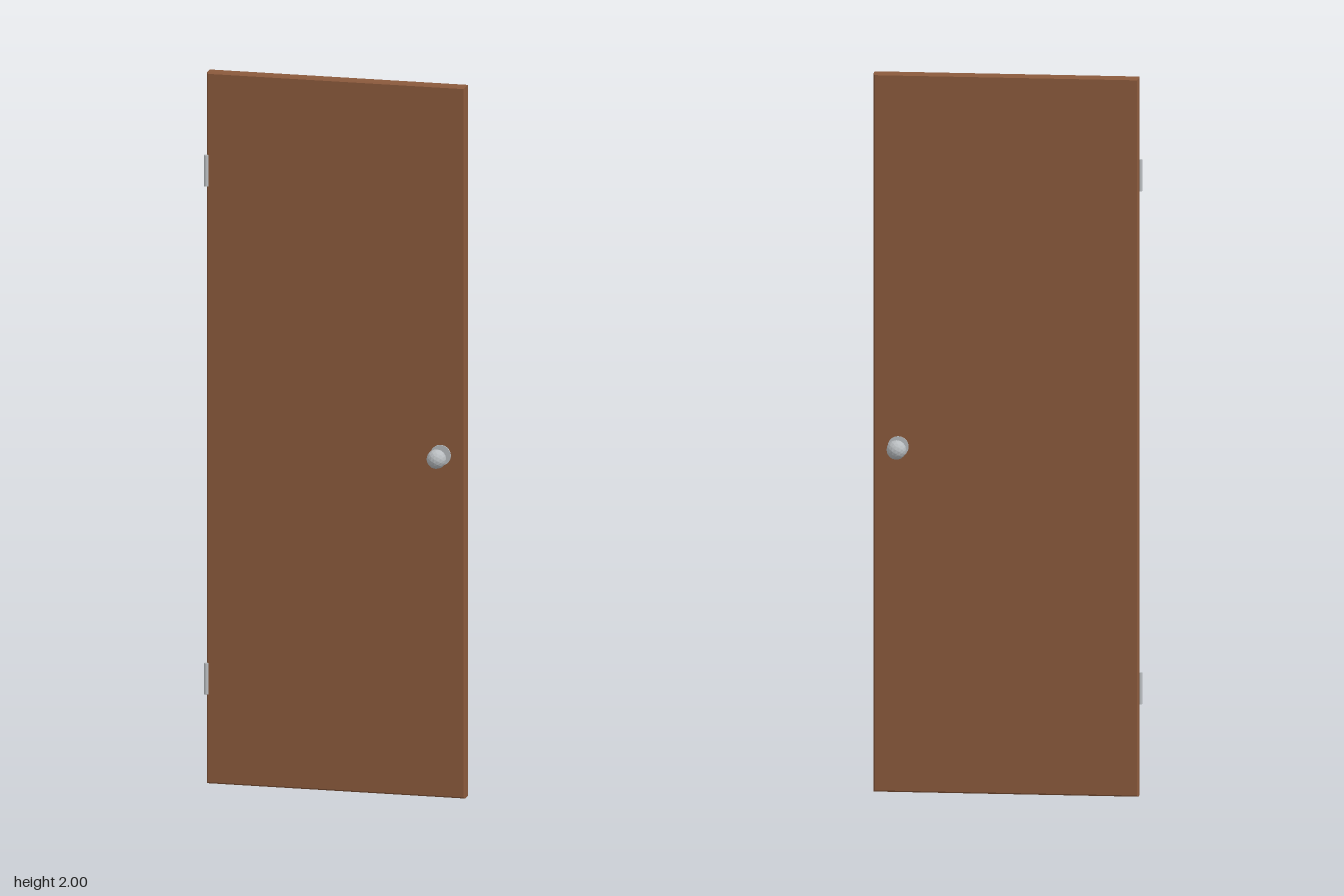
import * as THREE from 'three';

export function createModel() {
  const wood = new THREE.MeshStandardMaterial({ color: 0x8b5a3c, flatShading: true });
  wood.name = 'brown wood';
  const steel = new THREE.MeshStandardMaterial({ color: 0xb9bdc0, flatShading: true });
  steel.name = 'brushed steel';

  const model = new THREE.Group();
  model.name = 'door';

  function add(parent, name, geometry, material, x, y, z) {
    const mesh = new THREE.Mesh(geometry, material);
    mesh.name = name;
    mesh.position.set(x, y, z);
    parent.add(mesh);
    return mesh;
  }

  // Door slab with a small chamfer on every edge
  const width = 0.728, height = 2, depth = 0.039, bevel = 0.004;
  const w = width / 2 - bevel, h = height / 2 - bevel;
  const outline = new THREE.Shape([
    new THREE.Vector2(-w, -h), new THREE.Vector2(w, -h),
    new THREE.Vector2(w, h), new THREE.Vector2(-w, h),
  ]);
  const slab = new THREE.ExtrudeGeometry(outline, {
    depth: depth - 2 * bevel, bevelEnabled: true, bevelSegments: 1,
    bevelSize: bevel, bevelThickness: bevel,
  });
  slab.center();
  add(model, 'doorSlab', slab, wood, 0.003, height / 2, 0);

  // Hinge barrels on the front edge
  const barrel = new THREE.CylinderGeometry(0.006, 0.006, 0.088, 12);
  add(model, 'upperHinge', barrel, steel, -0.362, 1.724, 0.0205);
  add(model, 'lowerHinge', barrel, steel, -0.362, 0.295, 0.0205);

  // Knob sets, one on each face
  const rosette = new THREE.CylinderGeometry(0.029, 0.029, 0.006, 20).rotateX(Math.PI / 2);
  const stem = new THREE.CylinderGeometry(0.007, 0.007, 0.034, 12).rotateX(Math.PI / 2);
  const knob = new THREE.IcosahedronGeometry(0.027, 2);
  for (const [name, turn] of [['frontKnob', 0], ['backKnob', Math.PI]]) {
    const set = new THREE.Group();
    set.name = name;
    set.position.set(0.299, 0.963, 0);
    set.rotation.y = turn;
    add(set, 'rosette', rosette, steel, 0, 0, 0.02);
    add(set, 'stem', stem, steel, 0, 0, 0.034);
    add(set, 'knob', knob, steel, 0, 0, 0.068);
    model.add(set);
  }
  return model;
}
